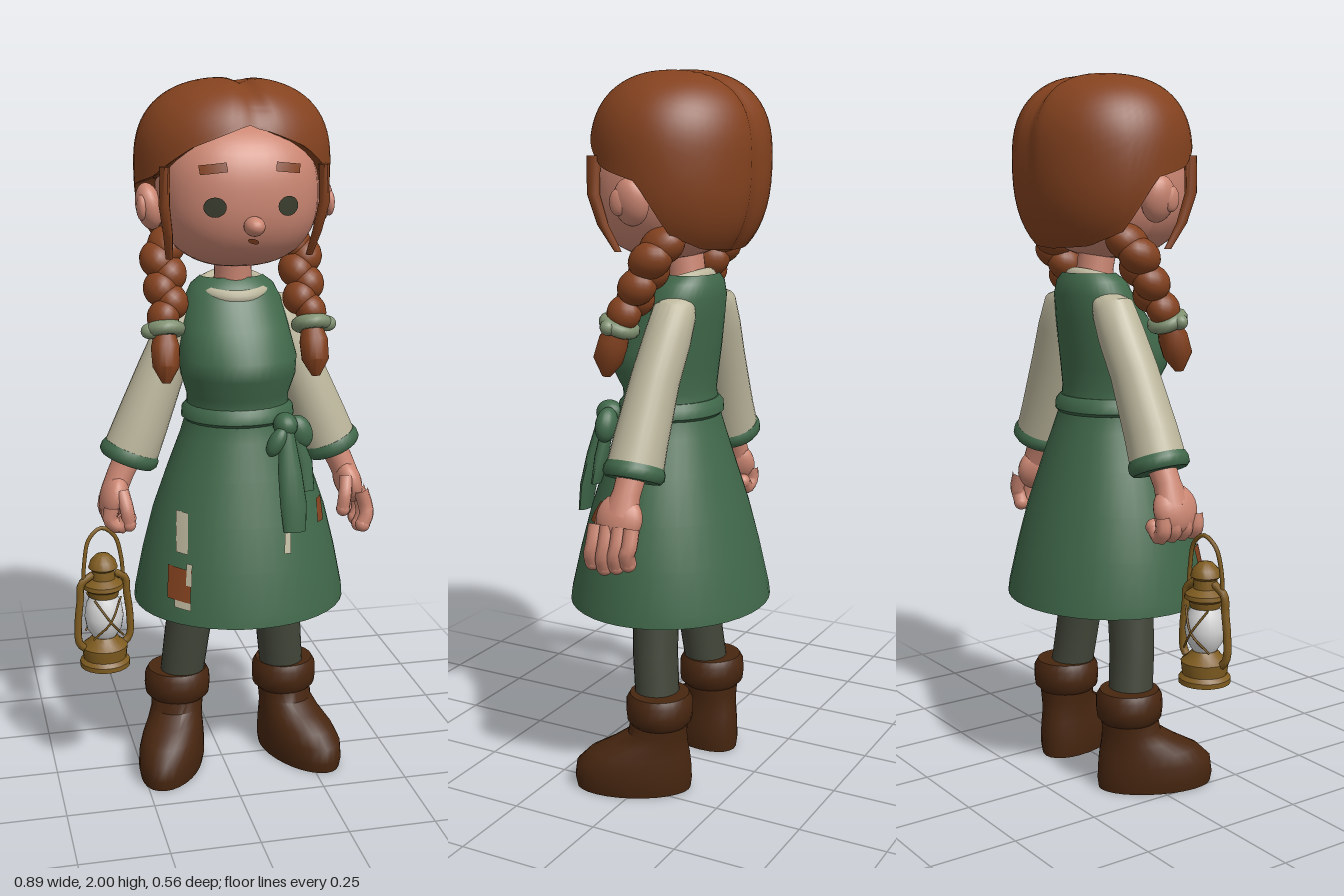
import * as THREE from 'three';
import { toCreasedNormals } from 'three/addons/utils/BufferGeometryUtils.js';

const mat = (name, color) => {
  const m = new THREE.MeshStandardMaterial({ color });
  m.name = name;
  return m;
};
const V = (x, y, z) => new THREE.Vector3(x, y, z);
const MID = 0.038; // mirror plane of the figure

// Surface over a grid of points; rows run along the part, columns go round it
function grid(rows, crease = 0.8) {
  const n = rows[0].length, pos = [], idx = [];
  rows.forEach(r => r.forEach(p => pos.push(p.x, p.y, p.z)));
  for (let i = 0; i < rows.length - 1; i++) for (let j = 0; j < n; j++) {
    const k = (j + 1) % n, a = i * n + j, b = a + n, c = i * n + k, d = c + n;
    idx.push(a, b, c, b, d, c);
  }
  const g = new THREE.BufferGeometry();
  g.setAttribute('position', new THREE.Float32BufferAttribute(pos, 3));
  g.setIndex(idx);
  return toCreasedNormals(g, crease);
}

// Loft of ellipses [x, y, z, rx, rz]; rings are level, or follow the path when bent
function loft(rings, { n = 24, bent = false, caps = true } = {}) {
  const c = rings.map(r => V(r[0], r[1], r[2]));
  const rows = rings.map((r, i) => {
    const t = bent ? c[Math.min(i + 1, c.length - 1)].clone().sub(c[Math.max(i - 1, 0)]).normalize() : V(0, 1, 0);
    const u = t.clone().cross(V(0, 0, 1)).normalize(), v = u.clone().cross(t);
    // level rings listed from the top down run the other way round
    const flip = !bent && c[c.length - 1].y < c[0].y && caps ? -1 : 1;
    return Array.from({ length: n }, (_, j) => {
      const a = flip * j / n * Math.PI * 2;
      return c[i].clone().addScaledVector(u, r[3] * Math.cos(a)).addScaledVector(v, (r[4] ?? r[3]) * Math.sin(a));
    });
  });
  if (caps) {
    rows.unshift(rows[0].map(() => c[0]));
    rows.push(rows[0].map(() => c[c.length - 1]));
  }
  return grid(rows);
}
const tube = (pts, r, seg = 20) => new THREE.TubeGeometry(new THREE.CatmullRomCurve3(pts.map(p => V(...p))), seg, r, 8);
const lathe = pts => toCreasedNormals(new THREE.LatheGeometry(pts.map(p => new THREE.Vector2(...p)), 20), 0.6);

// Head: a rounded box-like ellipsoid
const H = { c: V(0.04, 1.7, 0.005), r: V(0.22, 0.2, 0.2), n: 2.4 };
function headGeometry() {
  const g = new THREE.SphereGeometry(1, 36, 28), p = g.attributes.position;
  for (let i = 0; i < p.count; i++) {
    const d = V().fromBufferAttribute(p, i);
    const L = (Math.abs(d.x) ** H.n + Math.abs(d.y) ** H.n + Math.abs(d.z) ** H.n) ** (1 / H.n);
    d.divideScalar(L).multiply(H.r).add(H.c);
    p.setXYZ(i, d.x, d.y, d.z);
  }
  g.computeVertexNormals();
  return g;
}
const faceZ = (x, y) => H.c.z + H.r.z * Math.max(0, 1 - Math.abs((x - H.c.x) / H.r.x) ** H.n - Math.abs((y - H.c.y) / H.r.y) ** H.n) ** (1 / H.n);

// Hair cap with a centre parting; the lower edge height varies round the head
const EDGE = [[0, 1.89], [0.6, 1.83], [1.1, 1.75], [1.6, 1.72], [1.95, 1.58], [2.4, 1.54], [3.15, 1.53]];
function edgeY(a) {
  const k = EDGE.findIndex(e => e[0] >= a), [a1, y1] = EDGE[k], [a0, y0] = EDGE[Math.max(0, k - 1)];
  return a1 === a0 ? y1 : THREE.MathUtils.lerp(y0, y1, (a - a0) / (a1 - a0));
}
function hairGeometry() {
  const n = 64, m = 22, cx = 0.035, cy = 1.77, cz = -0.026, e = 2.5, rows = [];
  const ry = s => (s < 0 ? 0.3 : 0.232);
  for (let i = 0; i <= m + 2; i++) {
    rows.push(Array.from({ length: n }, (_, j) => {
      const a = j / n * Math.PI * 2, ye = edgeY(a > Math.PI ? 2 * Math.PI - a : a) - cy;
      const end = Math.acos(Math.sign(ye) * Math.abs(ye / ry(ye)) ** (e / 2));
      const f = end * Math.min(i, m) / m, c = Math.cos(f);
      let y = cy + Math.sign(c) * ry(c) * Math.abs(c) ** (2 / e);
      let r = Math.sin(f) ** (2 / e);
      if (i > m) { r *= i === m + 1 ? 0.86 : 0.3; y += 0.01; }
      const x = 0.27 * r * Math.sin(a), z = 0.24 * r * Math.cos(a);
      const groove = Math.exp(-((x - 0.015) ** 2) / 0.0006) * 0.014;
      return V(cx + x, y - groove * Math.max(0, c), cz + z - Math.sign(z) * groove * Math.min(1, Math.abs(z) * 5));
    }));
  }
  return grid(rows, 1.2);
}

// Dress outline from hem to neck: [x, y, z, rx, rz]
const DRESS = [
  [0.05, 0.53, 0, 0.306, 0.282], [0.05, 0.56, 0, 0.304, 0.278], [0.05, 0.68, 0, 0.28, 0.25], [0.05, 0.8, 0, 0.25, 0.218],
  [0.05, 0.92, 0, 0.208, 0.18], [0.048, 1.02, 0, 0.168, 0.15], [0.046, 1.09, 0, 0.145, 0.128], [0.045, 1.14, 0.005, 0.145, 0.128],
  [0.043, 1.2, 0.02, 0.162, 0.148], [0.042, 1.25, 0.018, 0.166, 0.152], [0.042, 1.33, -0.02, 0.152, 0.122],
  [0.042, 1.4, -0.05, 0.138, 0.098], [0.042, 1.44, -0.058, 0.118, 0.086], [0.042, 1.462, -0.066, 0.088, 0.066]];
function dressZ(x, y) {
  const k = Math.max(1, DRESS.findIndex(r => r[1] >= y)), A = DRESS[k - 1], B = DRESS[k], t = (y - A[1]) / (B[1] - A[1]);
  const [cx, , cz, rx, rz] = A.map((v, i) => THREE.MathUtils.lerp(v, B[i], t));
  return cz + rz * Math.sqrt(Math.max(0, 1 - ((x - cx) / rx) ** 2));
}
// Thin plate laid over a surface given by its depth at (x, y)
function drape(geo, x, y, tilt, depth) {
  geo.rotateZ(tilt).translate(x, y, 0);
  const p = geo.attributes.position;
  for (let i = 0; i < p.count; i++) p.setZ(i, depth(p.getX(i), p.getY(i)) + 0.005);
  geo.computeVertexNormals();
  return geo;
}

export function createModel() {
  const root = new THREE.Group();
  root.name = 'girlWithLantern';
  const hair = mat('auburn hair', 0x84421f), skin = mat('skin', 0xcb8672), green = mat('green cloth', 0x40684a),
    cream = mat('cream cloth', 0xbcb69c), stocking = mat('dark stocking', 0x424639), leather = mat('brown leather', 0x472610),
    brass = mat('brass', 0x7f5c20), glass = mat('white glass', 0xd6d6d6), dark = mat('dark eye', 0x3a3d2e), sage = mat('sage ribbon', 0x7f9070);
  const add = (name, geo, m, parent = root) => {
    const o = new THREE.Mesh(geo, m);
    o.name = name;
    parent.add(o);
    return o;
  };
  const blob = (name, m, x, y, z, sx, sy, sz, parent = root) => {
    const o = add(name, new THREE.SphereGeometry(1, 18, 14), m, parent);
    o.position.set(x, y, z);
    o.scale.set(sx, sy, sz);
    return o;
  };

  // Head and face
  add('head', headGeometry(), skin);
  add('hair', hairGeometry(), hair);
  add('neck', loft([[0.042, 1.37, -0.05, 0.06], [0.042, 1.47, -0.045, 0.052], [0.04, 1.56, -0.03, 0.055]]), skin);
  blob('nose', skin, 0.042, 1.63, 0.208, 0.028, 0.026, 0.036);
  add('mouth', drape(new THREE.CircleGeometry(0.014, 10).scale(1.2, 0.5, 1), 0.045, 1.588, -0.3, faceZ), hair);

  // Dress with a dark lining, belt and collar
  add('dress', loft(DRESS, { n: 40, caps: false }), green);
  const lining = DRESS.slice(0, 6).reverse().map(r => [r[0], r[1], r[2], r[3] - 0.012, r[4] - 0.012]);
  add('dressLining', loft([...lining, DRESS[0]], { n: 40, caps: false }), stocking);
  add('belt', loft([[0.046, 1.065, 0, 0.15, 0.135], [0.046, 1.075, 0, 0.161, 0.145], [0.046, 1.1, 0, 0.159, 0.143], [0.046, 1.115, 0, 0.146, 0.13]], { n: 32 }), green);
  const collar = add('collar', new THREE.TorusGeometry(0.082, 0.023, 10, 32), cream);
  collar.position.set(0.042, 1.432, -0.038);
  collar.rotation.x = Math.PI / 2 + 0.32;
  collar.scale.y = 0.85;

  // Belt knot, loops and hanging ends
  blob('beltKnot', green, 0.15, 1.07, 0.14, 0.034, 0.036, 0.04);
  blob('bowLoop', green, 0.195, 1.045, 0.125, 0.036, 0.05, 0.03).rotation.z = 0.4;
  blob('bowLoop', green, 0.12, 1.03, 0.165, 0.024, 0.045, 0.025).rotation.z = -0.5;
  add('beltEndLong', loft([[0.16, 0.785, 0.218, 0.032, 0.014], [0.158, 0.86, 0.208, 0.038, 0.018], [0.152, 0.95, 0.188, 0.034, 0.02], [0.148, 1.07, 0.155, 0.02, 0.018]], { n: 14 }), green);
  add('beltEndShort', loft([[0.212, 0.88, 0.15, 0.022, 0.012], [0.205, 0.96, 0.135, 0.026, 0.018], [0.172, 1.06, 0.13, 0.018, 0.016]], { n: 12 }), green);

  // Mended patches on the skirt
  for (const [x, y, w, h, m] of [[-0.16, 0.64, 0.055, 0.09, hair], [-0.145, 0.78, 0.028, 0.11, cream], [-0.155, 0.585, 0.04, 0.02, cream],
    [-0.135, 0.67, 0.014, 0.06, cream], [0.14, 0.755, 0.02, 0.06, cream], [0.26, 0.81, 0.024, 0.06, hair]])
    add('patch', drape(new THREE.PlaneGeometry(w, h, 4, 4), x, y, -0.08, dressZ), m);

  for (const s of [-1, 1]) {
    const X = off => MID + s * off;
    // Eyes, brows, ears and side locks
    add('eye', drape(new THREE.CircleGeometry(0.029, 20).scale(1, 0.9, 1), X(0.098), 1.68, 0, faceZ), dark);
    add('eyebrow', drape(new THREE.PlaneGeometry(0.07, 0.024, 6, 2), X(0.1), 1.778, -s * 0.12, faceZ), hair);
    blob('ear', skin, X(0.238), 1.665, -0.005, 0.036, 0.064, 0.05).rotation.z = -s * 0.2;
    blob('innerEar', skin, X(0.262), 1.665, 0.02, 0.014, 0.035, 0.025);
    add('sideLock', loft([[X(0.195), 1.53, 0.06, 0.01], [X(0.205), 1.6, 0.1, 0.013, 0.016], [X(0.218), 1.68, 0.12, 0.015, 0.018], [X(0.215), 1.78, 0.12, 0.014, 0.02]], { n: 10 }), hair);

    // Braid of overlapping strands, tied near its end
    const braid = new THREE.Group();
    braid.name = 'braid';
    root.add(braid);
    for (let i = 0; i < 6; i++) {
      const t = i / 5, w = i % 2 ? 1 : -1;
      const lump = blob('braidStrand', hair, X(0.195 + w * 0.014), 1.55 - 0.18 * t, -0.065 + 0.1 * t, 0.053 - 0.01 * t, 0.05, 0.066 - 0.016 * t, braid);
      lump.rotation.set(0.4, 0, s * w * 0.5);
    }
    const tie = add('hairTie', new THREE.TorusGeometry(0.038, 0.02, 10, 20), sage, braid);
    tie.position.set(X(0.208), 1.335, 0.05);
    tie.rotation.x = Math.PI / 2 - 0.4;
    blob('ribbonKnot', sage, X(0.25), 1.335, 0.06, 0.026, 0.022, 0.022, braid);
    add('braidTip', loft([[X(0.208), 1.34, 0.045, 0.026], [X(0.21), 1.29, 0.068, 0.04, 0.042], [X(0.211), 1.24, 0.085, 0.038, 0.042], [X(0.212), 1.195, 0.09, 0.012]], { n: 14, bent: true }), hair, braid);

    // Sleeve and cuff
    add('sleeve', loft([[X(0.085), 1.39, -0.07, 0.03, 0.045], [X(0.122), 1.365, -0.07, 0.058, 0.06], [X(0.152), 1.3, -0.065, 0.066, 0.064],
      [X(0.2), 1.2, -0.055, 0.068, 0.066], [X(0.265), 1.04, -0.045, 0.077, 0.073], [X(0.295), 0.965, -0.043, 0.08, 0.077]], { bent: true }), cream);
    add('cuff', loft([[X(0.29), 0.98, -0.043, 0.08, 0.077], [X(0.295), 0.968, -0.043, 0.086, 0.083], [X(0.301), 0.952, -0.043, 0.086, 0.083], [X(0.305), 0.942, -0.043, 0.077, 0.074]], { bent: true }), green);

    // Hand: the right one is closed round the lantern handle
    const fist = s < 0, hand = new THREE.Group();
    hand.name = fist ? 'rightHand' : 'leftHand';
    root.add(hand);
    add('wrist', loft([[X(0.29), 0.98, -0.04, 0.04], [X(0.325), 0.91, -0.035, 0.038], [X(0.35), 0.85, -0.03, 0.036, 0.052]], { n: 16, bent: true }), skin, hand);
    blob('palm', skin, X(0.348), 0.845, -0.025, 0.039, 0.068, 0.068, hand).rotation.z = s * 0.3;
    for (let i = 0; i < 4; i++) {
      const z = -0.077 + i * 0.036, L = [0.02, 0.008, 0, 0.01][i];
      const pts = fist ? [[X(0.362), 0.83, z], [X(0.365), 0.79, z], [X(0.34), 0.772, z + 0.005], [X(0.315), 0.795, z + 0.005]]
        : [[X(0.372), 0.83, z], [X(0.388), 0.78, z], [X(0.39), 0.745 + L, z + 0.005], [X(0.378), 0.715 + L, z + 0.008]];
      add('finger', tube(pts, 0.022, 10), skin, hand);
      blob('fingertip', skin, ...pts[3], 0.022, 0.022, 0.022, hand);
    }
    add('thumb', tube([[X(0.33), 0.87, 0.02], [X(0.32), 0.82, 0.045], [X(0.315), 0.78, 0.045]], 0.02, 8), skin, hand);
    blob('thumbTip', skin, X(0.315), 0.78, 0.045, 0.02, 0.022, 0.02, hand);

    // Stockinged leg
    add('leg', loft([[X(0.157), 0.24, -0.035, 0.064, 0.062], [X(0.14), 0.4, -0.018, 0.067, 0.063], [X(0.118), 0.55, -0.01, 0.071, 0.064], [X(0.075), 0.9, -0.01, 0.075]]), stocking);

    // Boot turned outward, with a folded top
    const boot = new THREE.Group();
    boot.name = 'boot';
    boot.position.set(X(0.165), 0, -0.045);
    boot.rotation.y = s * 0.42;
    root.add(boot);
    add('bootFoot', loft([[0, 0, 0.075, 0.086, 0.163], [0, 0.03, 0.076, 0.092, 0.168], [0, 0.075, 0.074, 0.091, 0.164], [0, 0.11, 0.058, 0.086, 0.144],
      [0, 0.14, 0.03, 0.079, 0.11], [0, 0.17, 0.006, 0.076, 0.084], [0, 0.22, 0, 0.08, 0.08]], { n: 28 }), leather, boot);
    add('bootTop', loft([[0, 0.198, 0, 0.08, 0.08], [0, 0.212, 0, 0.095, 0.092], [0, 0.24, 0, 0.098, 0.095], [0, 0.272, 0, 0.096, 0.094], [0, 0.29, 0, 0.086, 0.084]]), leather, boot);
  }

  // Lantern
  const lamp = new THREE.Group();
  lamp.name = 'lantern';
  lamp.position.set(-0.355, 0, 0.046);
  lamp.rotation.y = 0.2;
  root.add(lamp);
  add('lanternBase', lathe([[0, 0.36], [0.072, 0.36], [0.072, 0.374], [0.062, 0.385], [0.066, 0.42], [0.046, 0.436], [0.035, 0.45], [0, 0.45]]), brass, lamp);
  add('lanternGlass', lathe([[0.03, 0.445], [0.05, 0.475], [0.056, 0.51], [0.05, 0.55], [0.034, 0.58]]), glass, lamp);
  add('lanternCap', lathe([[0, 0.572], [0.042, 0.572], [0.046, 0.59], [0.058, 0.598], [0.056, 0.61], [0.034, 0.625], [0.032, 0.65], [0.042, 0.658], [0.036, 0.678], [0.02, 0.695], [0, 0.7]]), brass, lamp);
  for (const s of [-1, 1]) {
    add('lanternFrame', tube([[s * 0.05, 0.41, 0], [s * 0.075, 0.435, 0], [s * 0.078, 0.5, 0], [s * 0.07, 0.57, 0], [s * 0.066, 0.615, 0], [s * 0.03, 0.64, 0]], 0.011), brass, lamp);
    for (const d of [-1, 1])
      add('glassGuard', tube([[-s * 0.045, 0.455, d * 0.035], [0, 0.51, d * 0.06], [s * 0.04, 0.575, d * 0.035]], 0.003), brass, lamp);
  }
  add('lanternHandle', tube([[-0.06, 0.61, 0], [-0.055, 0.68, 0], [-0.038, 0.745, -0.005], [0, 0.772, -0.008], [0.038, 0.745, -0.005], [0.055, 0.68, 0], [0.06, 0.61, 0]], 0.006, 30), brass, lamp);
  return root;
}
